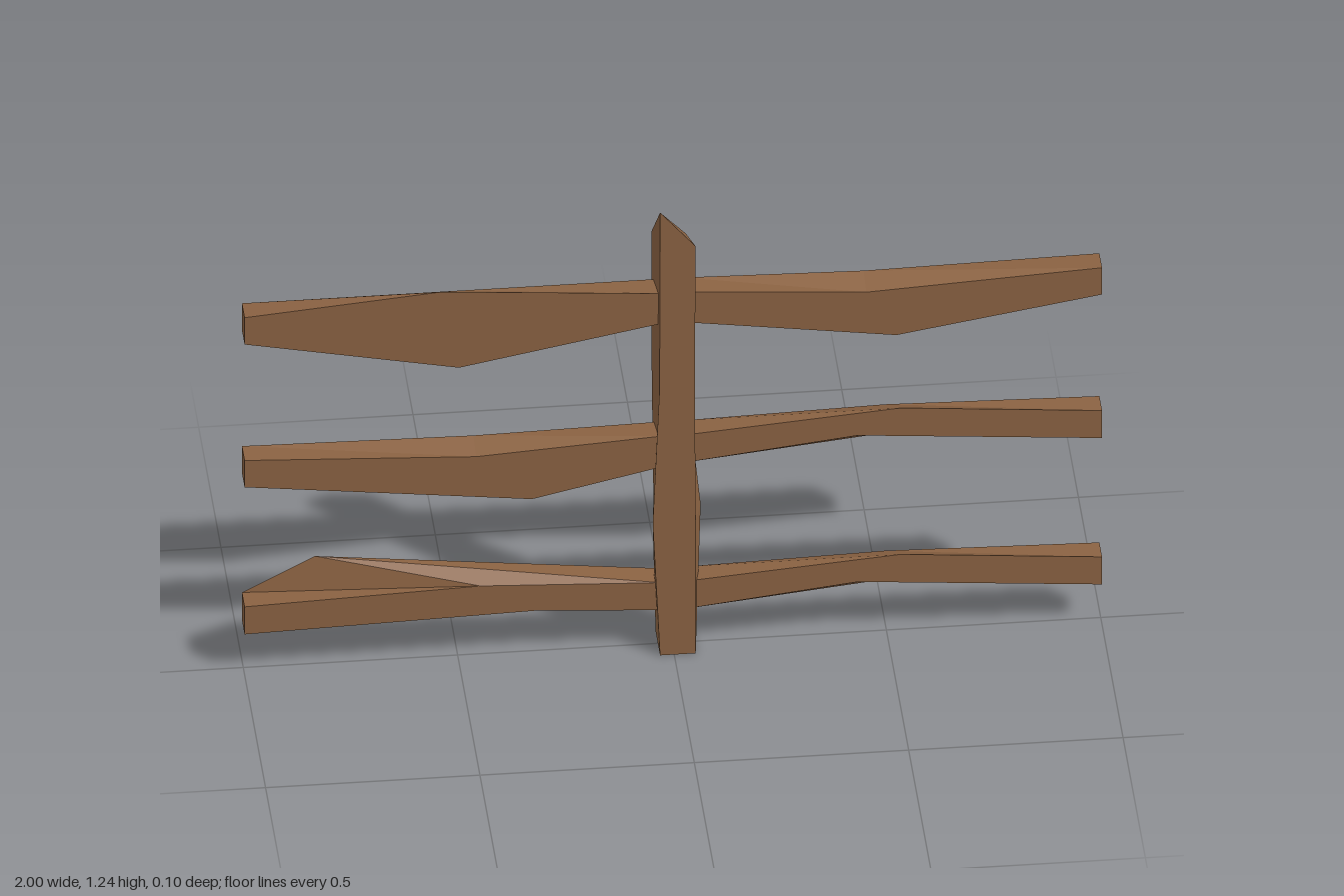
import * as THREE from 'three';

const wood = new THREE.MeshStandardMaterial({ name: 'brownWood', color: 0x8a6242 });

// Faceted beam from four long edges (counter-clockwise round the beam axis),
// each a list of [x, y, z] points running from the start cap to the end cap.
function beam(name, edges) {
  const pos = [];
  const quad = (a, b, c, d) => pos.push(...a, ...b, ...c, ...a, ...c, ...d);
  const last = edges[0].length - 1;
  edges.forEach((e, i) => {
    const next = edges[(i + 1) % 4];
    for (let j = 0; j < last; j++) quad(e[j], next[j], next[j + 1], e[j + 1]);
  });
  quad(edges[3][0], edges[2][0], edges[1][0], edges[0][0]);
  quad(edges[0][last], edges[1][last], edges[2][last], edges[3][last]);

  const geometry = new THREE.BufferGeometry();
  geometry.setAttribute('position', new THREE.Float32BufferAttribute(pos, 3));
  geometry.computeVertexNormals();
  const mesh = new THREE.Mesh(geometry, wood);
  mesh.name = name;
  return mesh;
}

// Rail on one side of the post: square ends, with each long edge bent at its own [x, y] point.
function rail(name, side, top, bottom, innerBottom, bends) {
  const edge = (outerY, innerY, [bx, by], z) => {
    const points = [[side, outerY, z], [bx, by, z], [side * 0.03, innerY, z]];
    return side < 0 ? points : points.reverse();
  };
  return beam(name, [
    edge(bottom, innerBottom, bends.frontBottom, 0.03),
    edge(bottom, innerBottom, bends.backBottom, -0.03),
    edge(top, top, bends.backTop, -0.03),
    edge(top, top, bends.frontTop, 0.03),
  ]);
}

export function createModel() {
  const group = new THREE.Group();
  group.name = 'fence';

  // Crooked post with a slanted, pointed top
  const corner = (z, points) => points.map(([x, y]) => [x, y, z]);
  group.add(beam('post', [
    corner(0.05, [[-0.033, 0], [-0.05, 0.37], [-0.034, 0.75], [-0.033, 1.24]]),
    corner(0.05, [[0.05, 0], [0.05, 0.37], [0.048, 0.76], [0.05, 1.14]]),
    corner(-0.05, [[0.053, 0], [0.072, 0.35], [0.037, 0.7], [0.037, 1.11]]),
    corner(-0.05, [[-0.033, 0], [-0.038, 0.37], [-0.042, 0.72], [-0.043, 1.12]]),
  ]));

  // Upper rails, sagging in the middle
  group.add(rail('upperRightRail', -1, 1, 0.925, 0.915, {
    frontTop: [-0.54, 1.04], backTop: [-0.5, 1.0], frontBottom: [-0.5, 0.825], backBottom: [-0.5, 0.88],
  }));
  group.add(rail('upperLeftRail', 1, 1, 0.925, 0.915, {
    frontTop: [0.45, 0.97], backTop: [0.45, 0.99], frontBottom: [0.52, 0.845], backBottom: [0.5, 0.88],
  }));

  // Middle and lower left rails share one arched shape
  [['middleLeftRail', 0.6], ['lowerLeftRail', 0.19]].forEach(([name, y]) => {
    group.add(rail(name, 1, y, y - 0.077, y - 0.077, {
      frontTop: [0.53, y + 0.04], backTop: [0.5, y + 0.012],
      frontBottom: [0.43, y - 0.03], backBottom: [0.5, y - 0.068],
    }));
  });

  // Middle right rail, hanging low near the post
  group.add(rail('middleRightRail', -1, 0.6, 0.525, 0.513, {
    frontTop: [-0.46, 0.573], backTop: [-0.46, 0.592], frontBottom: [-0.33, 0.445], backBottom: [-0.5, 0.535],
  }));

  // Lower right rail, with a raised back edge near its outer end
  group.add(rail('lowerRightRail', -1, 0.19, 0.113, 0.113, {
    frontTop: [-0.45, 0.21], backTop: [-0.83, 0.28], frontBottom: [-0.32, 0.132], backBottom: [-0.42, 0.105],
  }));

  return group;
}
